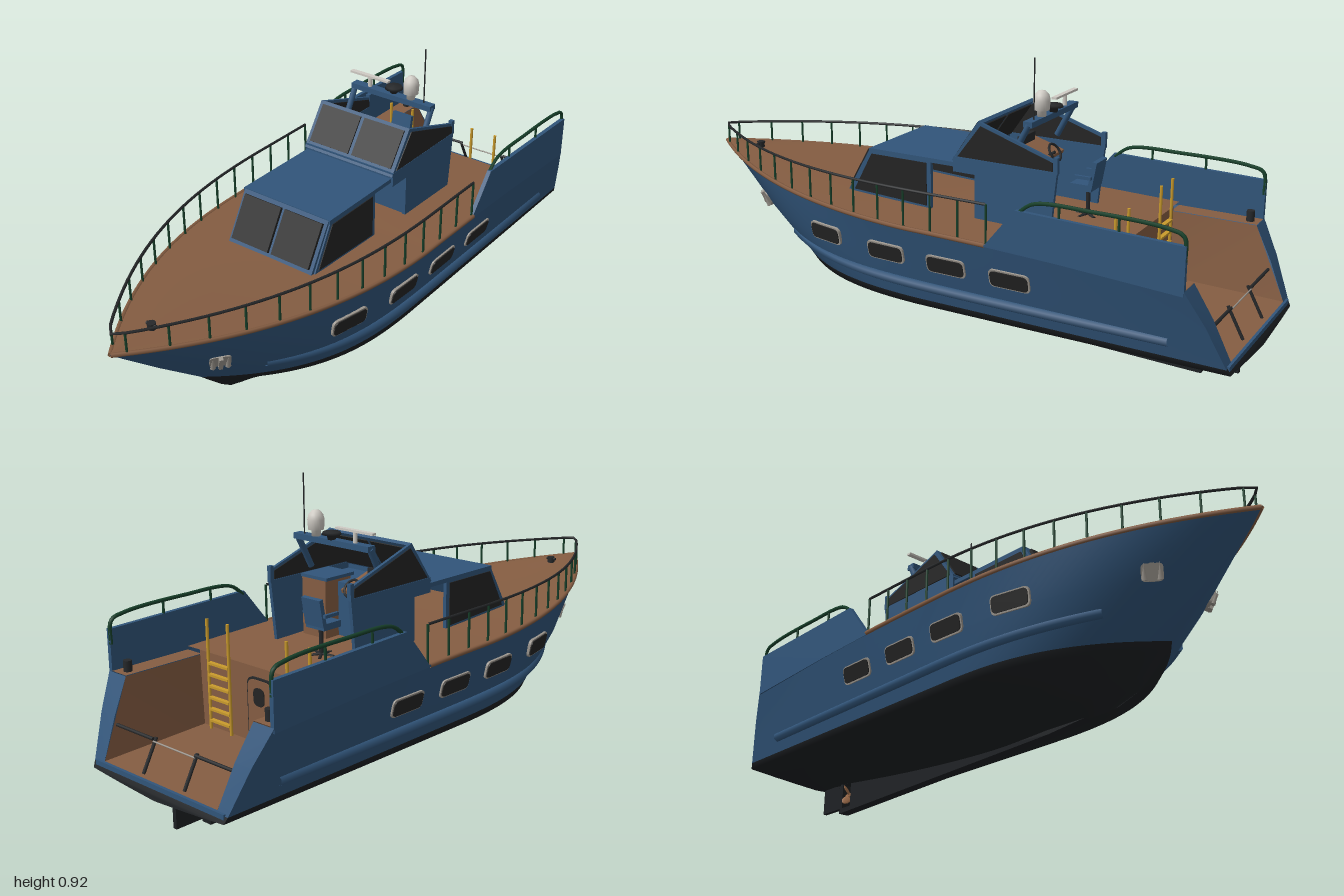
import * as THREE from 'three';

const mat = (name, color, side = THREE.FrontSide) => {
  const m = new THREE.MeshStandardMaterial({ color, side });
  m.name = name;
  return m;
};

export function createModel() {
  const root = new THREE.Group();
  root.name = 'motorYacht';
  const D = THREE.DoubleSide;
  const blue = mat('hullBlue', 0x31557a, D), wood = mat('deckBrown', 0x855d42, D), bottom = mat('bottomBlack', 0x1d2023, D);
  const glass = mat('darkGlass', 0x242424), metal = mat('blackMetal', 0x26282a), green = mat('railGreen', 0x17402a);
  const yellow = mat('ladderYellow', 0xc99a2c), white = mat('domeWhite', 0xcfcbc4), silver = mat('silver', 0x9c968e);
  const bronze = mat('propellerBronze', 0x9a6a48, D);

  const add = (name, geo, m, parent = root) => {
    const o = new THREE.Mesh(geo, m);
    o.name = name;
    parent.add(o);
    return o;
  };
  const V = (x, y, z) => new THREE.Vector3(x, y, z);
  const lerp = THREE.MathUtils.lerp;
  const box = (name, m, w, h, d, x, y, z) => add(name, new THREE.BoxGeometry(w, h, d).translate(x, y, z), m);
  const rod = (name, m, a, b, r, sides = 8) => {
    const o = add(name, new THREE.CylinderGeometry(r, r, a.distanceTo(b), sides), m);
    o.position.copy(a).lerp(b, 0.5);
    o.quaternion.setFromUnitVectors(V(0, 1, 0), b.clone().sub(a).normalize());
    return o;
  };
  const tube = (name, m, pts, r) => add(name, new THREE.TubeGeometry(new THREE.CatmullRomCurve3(pts), 64, r, 6), m);
  // surface from cross-sections: fn(i, j) returns a point
  const grid = (name, m, nu, nv, fn) => {
    const pos = [], idx = [];
    for (let i = 0; i <= nu; i++) for (let j = 0; j <= nv; j++) pos.push(...fn(i, j).toArray());
    for (let i = 0; i < nu; i++) for (let j = 0; j < nv; j++) {
      const a = i * (nv + 1) + j, b = a + nv + 1;
      idx.push(a, b, a + 1, b, b + 1, a + 1);
    }
    const g = new THREE.BufferGeometry();
    g.setAttribute('position', new THREE.Float32BufferAttribute(pos, 3));
    g.setIndex(idx);
    g.computeVertexNormals();
    return add(name, g, m);
  };
  // upright plate outlined by [z, y] points, centred on x
  const sidePlate = (name, m, pts, x, t, hole) => {
    const s = new THREE.Shape(pts.map(p => new THREE.Vector2(...p)));
    if (hole) s.holes.push(new THREE.Path(hole.map(p => new THREE.Vector2(...p))));
    const g = new THREE.ExtrudeGeometry(s, { depth: t, bevelEnabled: false });
    return add(name, g.translate(0, 0, -t / 2).rotateY(-Math.PI / 2).translate(x, 0, 0), m);
  };
  // raked panel running from (z0, y0) to (z1, y1)
  const slab = (name, m, z0, y0, z1, y1, w, t, x = 0) => {
    const o = add(name, new THREE.BoxGeometry(w, Math.hypot(z1 - z0, y1 - y0), t), m);
    o.position.set(x, (y0 + y1) / 2, (z0 + z1) / 2);
    o.rotation.x = Math.atan2(z1 - z0, y1 - y0);
    return o;
  };

  // ---- hull: longitudinal rows from sheer to keel ----
  const rows = [
    { y0: 0.41, aft: -0.025, fore: 0.055, w: 0.348, zs: -0.875, zb: 0.995, p: 2.4 },
    { y0: 0.29, aft: 0, fore: 0.03, w: 0.319, zs: -0.93, zb: 0.83, p: 3 },
    { y0: 0.165, aft: 0, fore: 0.017, w: 0.286, zs: -0.985, zb: 0.665, p: 3 },
    { y0: 0.142, aft: 0.005, fore: 0.015, w: 0.28, zs: -0.995, zb: 0.64, p: 3 },
    { y0: 0.115, aft: 0.025, fore: -0.015, w: 0.18, zs: -0.997, zb: 0.58, p: 3 },
    { y0: 0.07, aft: 0.065, fore: 0, w: 0.1, zs: -0.998, zb: 0.54, p: 3 },
    { y0: 0.03, aft: 0.1, fore: 0.015, w: 0, zs: -1, zb: 0.46, p: 3 },
  ];
  const rowX = (r, z) => r.w * (1 - Math.min(1, Math.max(0, (z + 0.05) / (r.zb + 0.05))) ** r.p);
  const rowY = (r, z) => r.y0 + (z > 0 ? r.fore * (z / r.zb) ** 1.3 : r.aft * (-z) ** 1.5);
  const sheer = rows[0];
  const hullX = (y, z) => {
    for (let i = 0; i < rows.length - 1; i++) {
      const a = rowY(rows[i], z), b = rowY(rows[i + 1], z);
      if (y >= b) return lerp(rowX(rows[i + 1], z), rowX(rows[i], z), Math.min(1, (y - b) / (a - b)));
    }
    return 0;
  };
  const N = 60;
  const hullStrip = (name, m, first, last, s) => grid(name, m, N, last - first, (i, j) => {
    const r = rows[first + j], z = lerp(r.zs, r.zb, 1 - (1 - i / N) ** 1.4);
    return V(s * rowX(r, z), rowY(r, z), z);
  });
  const both = fn => [1, -1].forEach(fn);
  both(s => {
    hullStrip('hullSide', blue, 0, 2, s);
    hullStrip('hullBottom', bottom, 2, 6, s);
  });

  // deck and sheer trim
  grid('deck', wood, 50, 4, (i, j) => {
    const z = lerp(-0.6, 0.99, i / 50), f = j / 2 - 1;
    return V(f * rowX(sheer, z), rowY(sheer, z) + 0.004 * (1 - f * f) + 0.004, z);
  });
  const sheerPt = (s, z, k = 1, y = 0) => V(s * k * rowX(sheer, z), rowY(sheer, z) + y, z);
  both(s => {
    const pts = Array.from({ length: 24 }, (_, i) => sheerPt(s, lerp(-0.27, 0.994, i / 23), 1, 0.001));
    tube('sheerTrim', wood, pts, 0.007);
    const strake = Array.from({ length: 20 }, (_, i) => {
      const t = i / 19, z = lerp(-0.82, 0.56, t), y = 0.215 + 0.035 * t ** 5;
      return V(s * (hullX(y, z) - 0.004 + 0.008 * Math.sin(Math.PI * t)), y, z);
    });
    tube('sideStrake', blue, strake, 0.016);
  });

  // fittings laid on the hull side
  const onHull = (name, s, y, z) => {
    const g = new THREE.Group(), e = 0.01, x = hullX(y, z);
    const n = V(1, -(hullX(y + e, z) - hullX(y - e, z)) / (2 * e), -(hullX(y, z + e) - hullX(y, z - e)) / (2 * e)).normalize();
    g.name = name;
    g.position.set(s * x, y, z);
    g.lookAt(s * (x + n.x), y + n.y, z + n.z);
    root.add(g);
    return g;
  };
  const pill = (w, h, c, d) => {
    const s = new THREE.Shape(), a = w / 2, b = h / 2;
    s.moveTo(-a + c, -b).lineTo(a - c, -b).quadraticCurveTo(a, -b, a, -b + c).lineTo(a, b - c).quadraticCurveTo(a, b, a - c, b);
    s.lineTo(-a + c, b).quadraticCurveTo(-a, b, -a, b - c).lineTo(-a, -b + c).quadraticCurveTo(-a, -b, -a + c, -b);
    return new THREE.ExtrudeGeometry(s, { depth: d, bevelEnabled: false });
  };
  both(s => {
    [[0.335, 0.322], [0.09, 0.313], [-0.125, 0.308], [-0.34, 0.305]].forEach(([z, y]) => {
      const g = onHull('porthole', s, y, z);
      add('portholeRim', pill(0.134, 0.06, 0.018, 0.009).translate(0, 0, -0.004), silver, g);
      add('portholeGlass', pill(0.124, 0.05, 0.016, 0.009).translate(0, 0, -0.001), glass, g);
    });
    const a = onHull('anchor', s, 0.333, 0.71);
    add('anchorPlate', pill(0.062, 0.05, 0.014, 0.014).translate(0, 0, -0.006), silver, a);
    add('anchorShank', new THREE.BoxGeometry(0.012, 0.052, 0.014).translate(0, 0, 0.012), silver, a);
    both(k => add('anchorFluke', new THREE.ConeGeometry(0.009, 0.05, 5).translate(k * 0.022, 0.004, 0.012), silver, a));
  });

  // ---- open stern cockpit ----
  const floorY = 0.172;
  grid('cockpitFloor', wood, 1, 1, (i, j) => V((j * 2 - 1) * (i ? 0.262 : 0.242), floorY, i ? -0.6 : -0.982));
  box('bulkhead', wood, 0.54, 0.235, 0.01, 0, 0.288, -0.6);
  grid('transom', bottom, 4, 1, (i, j) => V((j * 2 - 1) * rowX(rows[i + 2], -1), rowY(rows[i + 2], -1), rows[i + 2].zs));
  box('transomSill', blue, 0.55, 0.022, 0.012, 0, 0.16, -0.984);
  both(s => {
    grid('cockpitWall', wood, 1, 1, (i, j) => j ? V(s * 0.27, 0.39, i ? -0.6 : -0.875) : V(s * (i ? 0.262 : 0.242), floorY, i ? -0.6 : -0.982));
    grid('sternEnd', blue, 2, 1, (i, j) => {
      const r = rows[i];
      return V(s * (j ? r.w : lerp(0.27, 0.242, i / 2)), rowY(r, r.zs), r.zs);
    });
    grid('sideLedge', wood, 1, 1, (i, j) => V(s * (j ? 0.345 : 0.27), 0.392, i ? -0.6 : -0.875));
    sidePlate('bulwark', blue, [[-0.2, 0.405], [-0.27, 0.41], [-0.367, 0.53], [-0.875, 0.517], [-0.875, 0.375], [-0.5, 0.395]], s * 0.341, 0.014);
    tube('bulwarkRail', green, [V(s * 0.338, 0.52, -0.37), V(s * 0.338, 0.555, -0.42), V(s * 0.338, 0.563, -0.6), V(s * 0.338, 0.555, -0.82), V(s * 0.338, 0.54, -0.865), V(s * 0.338, 0.47, -0.87)], 0.006);
    [-0.5, -0.68].forEach(z => rod('bulwarkRailPost', green, V(s * 0.338, 0.52, z), V(s * 0.338, 0.56, z), 0.004));
    rod('sternBollard', metal, V(s * 0.3, 0.39, -0.845), V(s * 0.3, 0.425, -0.845), 0.013, 12);
    // ladders
    both(k => rod('ladderRail', yellow, V(s * 0.17 + k * 0.046, floorY, -0.618), V(s * 0.17 + k * 0.046, 0.515, -0.618), 0.005));
    for (let i = 0; i < 6; i++) box('ladderRung', yellow, 0.09, 0.007, 0.014, s * 0.17, 0.2 + i * 0.036, -0.618);
    // stern gate rails
    rod('sternRail', metal, V(s * 0.09, 0.262, -0.925), V(s * 0.255, 0.262, -0.925), 0.005);
    rod('sternRailPost', metal, V(s * 0.088, floorY, -0.965), V(s * 0.088, 0.265, -0.915), 0.005);
  });
  rod('sternChain', silver, V(-0.09, 0.255, -0.925), V(0.09, 0.255, -0.925), 0.0025);
  add('doorFrame', pill(0.11, 0.195, 0.03, 0.008).translate(0, 0.278, -0.611), metal);
  add('door', pill(0.098, 0.183, 0.026, 0.008).translate(0, 0.278, -0.614), wood);
  add('doorWindow', pill(0.045, 0.055, 0.02, 0.006).translate(0, 0.32, -0.617), glass);

  // ---- bow railing ----
  const railZ = Array.from({ length: 14 }, (_, i) => lerp(-0.27, 0.96, i / 13));
  const railPt = (s, z) => V(s * 0.98 * rowX(sheer, z), 0.53, z);
  tube('bowRail', metal, [...railZ.map(z => railPt(-1, z)), V(0, 0.53, 0.985), ...railZ.slice().reverse().map(z => railPt(1, z))], 0.0045);
  both(s => railZ.forEach(z => rod('railPost', green, sheerPt(s, z, 0.98), railPt(s, z), 0.0038, 6)));
  rod('bowBollard', metal, V(0, 0.455, 0.84), V(0, 0.482, 0.84), 0.013, 12);
  rod('bowBollardBar', metal, V(-0.018, 0.475, 0.84), V(0.018, 0.475, 0.84), 0.005);

  // ---- lower cabin ----
  slab('windshieldFrame', blue, 0.34, 0.42, 0.25, 0.575, 0.322, 0.012);
  both(s => {
    slab('windshieldPane', glass, 0.334, 0.442, 0.262, 0.566, 0.142, 0.02, s * 0.078);
    sidePlate('cabinSide', blue, [[0.34, 0.41], [0.25, 0.575], [0.025, 0.575], [0.025, 0.405]], s * 0.16, 0.012);
    sidePlate('cabinSideGlass', glass, [[0.313, 0.437], [0.245, 0.563], [0.04, 0.563], [0.04, 0.425]], s * 0.16, 0.018);
  });
  box('cabinRoof', blue, 0.332, 0.014, 0.4, 0, 0.573, 0.055);

  // ---- flybridge ----
  slab('upperWindshieldFrame', blue, -0.06, 0.585, -0.152, 0.718, 0.344, 0.012);
  box('flybridgeFront', blue, 0.344, 0.045, 0.014, 0, 0.578, -0.067);
  both(s => {
    slab('upperWindshieldPane', glass, -0.073, 0.605, -0.145, 0.709, 0.152, 0.02, s * 0.083);
    sidePlate('flybridgeSide', blue, [[-0.06, 0.6], [-0.06, 0.553], [-0.135, 0.553], [-0.135, 0.4], [-0.39, 0.4], [-0.41, 0.6]], s * 0.167, 0.012);
    sidePlate('upperSideFrame', blue, [[-0.06, 0.597], [-0.152, 0.718], [-0.408, 0.634], [-0.41, 0.597]], s * 0.167, 0.01);
    sidePlate('upperSideGlass', glass, [[-0.076, 0.603], [-0.155, 0.707], [-0.396, 0.629], [-0.398, 0.603]], s * 0.167, 0.016);
    rod('mastLeg', blue, V(s * 0.15, 0.62, -0.25), V(s * 0.15, 0.725, -0.305), 0.01);
    box('sideLightPost', blue, 0.014, 0.05, 0.014, s * 0.167, 0.62, -0.405);
  });
  box('mastBar', blue, 0.31, 0.018, 0.03, 0, 0.726, -0.303);

  // helm console, wheel and cabinet
  box('consoleBody', blue, 0.325, 0.19, 0.1, 0, 0.49, -0.19);
  slab('dashboard', wood, -0.275, 0.57, -0.16, 0.605, 0.145, 0.012, -0.075);
  box('cabinet', wood, 0.1, 0.19, 0.11, 0.095, 0.5, -0.24);
  box('cabinetTop', blue, 0.11, 0.01, 0.12, 0.095, 0.6, -0.235);
  box('instruments', metal, 0.09, 0.03, 0.015, -0.075, 0.615, -0.18);
  const wheel = new THREE.TorusGeometry(0.028, 0.004, 6, 24).rotateX(0.6).translate(-0.06, 0.59, -0.288);
  add('steeringWheel', wheel, metal);
  rod('steeringColumn', metal, V(-0.06, 0.59, -0.288), V(-0.06, 0.565, -0.25), 0.005);

  // helm chair
  rod('chairPost', metal, V(-0.05, 0.405, -0.41), V(-0.05, 0.5, -0.41), 0.007);
  for (let i = 0; i < 5; i++) {
    const a = i * Math.PI * 0.4;
    rod('chairFoot', metal, V(-0.05, 0.415, -0.41), V(-0.05 + 0.04 * Math.sin(a), 0.41, -0.41 + 0.04 * Math.cos(a)), 0.005);
  }
  box('chairSeat', blue, 0.075, 0.02, 0.07, -0.05, 0.505, -0.4);
  slab('chairBack', blue, -0.43, 0.505, -0.445, 0.59, 0.075, 0.014, -0.05);
  both(s => box('chairArm', blue, 0.01, 0.01, 0.055, -0.05 + s * 0.042, 0.54, -0.41));

  // mast equipment
  const lathe = pts => new THREE.LatheGeometry(pts.map(p => new THREE.Vector2(...p)), 24);
  add('radome', lathe([[0, 0], [0.014, 0], [0.014, 0.018], [0.024, 0.02], [0.026, 0.05], [0.022, 0.066], [0.012, 0.077], [0, 0.08]]).translate(0.07, 0.735, -0.305), white);
  add('domeLamp', lathe([[0, 0], [0.012, 0], [0.014, 0.012], [0.03, 0.016], [0.026, 0.024], [0, 0.028]]).translate(0, 0.734, -0.31), metal);
  rod('radarPost', white, V(-0.09, 0.73, -0.303), V(-0.09, 0.77, -0.303), 0.007);
  box('radarBar', white, 0.15, 0.007, 0.016, -0.09, 0.771, -0.303);
  rod('whipAntenna', metal, V(0.12, 0.73, -0.305), V(0.12, 0.92, -0.305), 0.0022, 6);

  // ---- keel, propeller and rudder ----
  sidePlate('skeg', bottom, [[0.35, 0.04], [0.2, 0.028], [-0.81, 0.003], [-0.825, 0.003], [-0.825, 0.12], [-0.6, 0.09], [0, 0.045]], 0, 0.036,
    [[-0.765, 0.02], [-0.765, 0.1], [-0.81, 0.105], [-0.81, 0.02]]);
  sidePlate('rudder', bottom, [[-0.83, 0.025], [-0.83, 0.112], [-0.935, 0.112], [-0.935, 0.025]], 0, 0.014);
  rod('rudderStock', bottom, V(0, 0.1, -0.845), V(0, 0.15, -0.845), 0.008);
  rod('propellerHub', bronze, V(0, 0.062, -0.765), V(0, 0.062, -0.805), 0.01, 12);
  for (let i = 0; i < 4; i++) {
    const b = new THREE.SphereGeometry(1, 10, 6).scale(0.014, 0.021, 0.003).rotateY(0.6).translate(0, 0.024, 0);
    add('propellerBlade', b.rotateZ(i * Math.PI / 2 + Math.PI / 4).translate(0, 0.062, -0.787), bronze);
  }
  return root;
}
